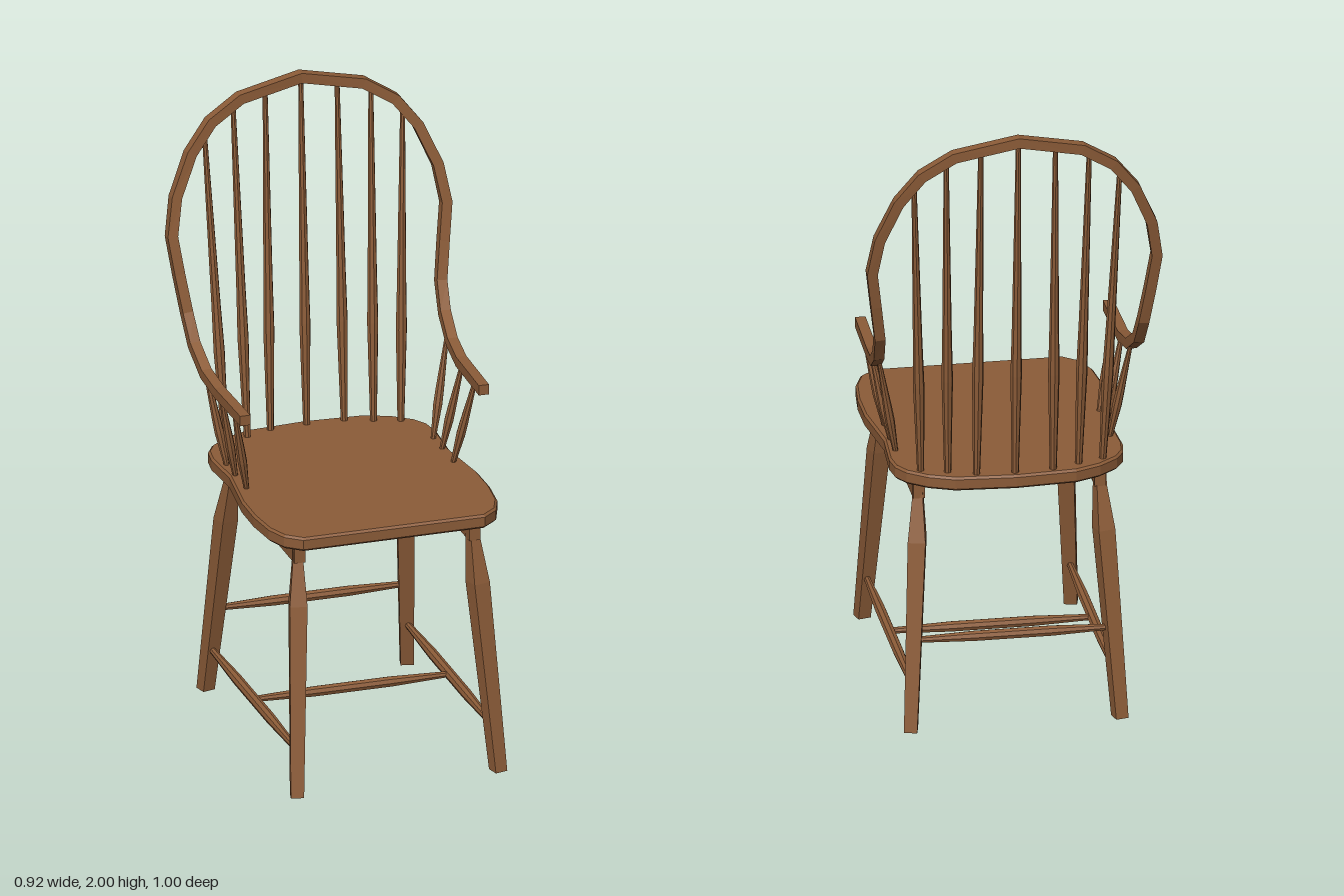
import * as THREE from 'three';

const wood = new THREE.MeshStandardMaterial({ color: 0x8c5c38, flatShading: true });

const V = (x, y, z) => new THREE.Vector3(x, y, z);

// Solid skin over a series of four-cornered rings, closed at both ends
function loft(rings) {
  const pos = rings.flat().flatMap((p) => [p.x, p.y, p.z]);
  const index = [];
  for (let r = 0; r < rings.length - 1; r++) {
    for (let i = 0; i < 4; i++) {
      const a = r * 4 + i, b = r * 4 + ((i + 1) % 4);
      index.push(a, b, b + 4, a, b + 4, a + 4);
    }
  }
  const e = (rings.length - 1) * 4;
  index.push(0, 2, 1, 0, 3, 2, e, e + 1, e + 2, e, e + 2, e + 3);
  const g = new THREE.BufferGeometry();
  g.setAttribute('position', new THREE.Float32BufferAttribute(pos, 3));
  g.setIndex(index);
  g.computeVertexNormals();
  return g;
}

export function createModel() {
  const chair = new THREE.Group();
  chair.name = 'armchair';

  const add = (name, geometry) => {
    const mesh = new THREE.Mesh(geometry, wood);
    mesh.name = name;
    chair.add(mesh);
    return mesh;
  };

  // Turned rod between two points; profile is [radius, fraction of length]
  const rod = (name, from, to, profile) => {
    const dir = to.clone().sub(from);
    const length = dir.length();
    const points = [[0, 0], ...profile, [0, 1]].map(([r, t]) => new THREE.Vector2(r, t * length));
    const mesh = add(name, new THREE.LatheGeometry(points, 8));
    mesh.position.copy(from);
    mesh.quaternion.setFromUnitVectors(V(0, 1, 0), dir.normalize());
  };

  // Seat: shaped plank with softened edges
  const half = [
    [0.19, -0.435], [0.27, -0.402], [0.33, -0.355], [0.357, -0.31], [0.366, -0.25], [0.357, -0.1],
    [0.37, 0], [0.383, 0.1], [0.384, 0.22], [0.372, 0.33], [0.345, 0.4], [0.295, 0.442],
  ];
  const outline = [
    [0, -0.448], ...half, ...half.slice().reverse().map(([x, z]) => [-x, z]),
  ].map(([x, z]) => new THREE.Vector2(x, -z));
  const bevel = 0.007;
  const seat = new THREE.ExtrudeGeometry(new THREE.Shape(outline), {
    depth: 0.045 - 2 * bevel, bevelThickness: bevel, bevelSize: bevel, bevelOffset: -bevel, bevelSegments: 1,
  });
  seat.rotateX(-Math.PI / 2).translate(0, 0.8 + bevel, 0);
  add('seat', seat);

  // Bow and arms: one square rail running from arm tip to arm tip
  const side = [
    [0.388, 1.135, 0.15], [0.393, 1.135, -0.09], [0.4, 1.155, -0.2], [0.407, 1.215, -0.295],
    [0.413, 1.3, -0.35], [0.43, 1.42, -0.378], [0.446, 1.54, -0.4], [0.426, 1.66, -0.422],
    [0.37, 1.79, -0.445], [0.3, 1.88, -0.46], [0.2, 1.943, -0.471],
  ];
  const path = [
    ...side, [0, 1.984, -0.482], ...side.slice().reverse().map(([x, y, z]) => [-x, y, z]),
  ].map((p) => V(...p));
  const bowRings = path.map((p, i) => {
    const before = path[Math.max(i - 1, 0)], after = path[Math.min(i + 1, path.length - 1)];
    const t = after.clone().sub(p).normalize().add(p.clone().sub(before).normalize()).normalize();
    const n = V(p.x, Math.max(0, p.y - 1.54), 0);
    n.addScaledVector(t, -n.dot(t)).normalize();
    const b = t.clone().cross(n);
    const h = 0.0165;
    return [[1, 1], [-1, 1], [-1, -1], [1, -1]].map(([u, v]) =>
      p.clone().addScaledVector(n, u * h).addScaledVector(b, v * h));
  });
  add('backBowAndArms', loft(bowRings));

  // Back spindles: swelling low down, thinning to the bow
  const spindleProfile = [[0.011, 0], [0.018, 0.3], [0.015, 0.45], [0.008, 1]];
  const spindles = [
    [0, -0.42, 0, 1.975, -0.478], [0.12, -0.413, 0.117, 1.955, -0.474],
    [0.205, -0.382, 0.224, 1.925, -0.466], [0.285, -0.355, 0.322, 1.845, -0.45],
  ];
  for (const [x0, z0, x1, y1, z1] of spindles) {
    for (const s of x0 ? [1, -1] : [1]) {
      rod('backSpindle', V(s * x0, 0.838, z0), V(s * x1, y1, z1), spindleProfile);
    }
  }

  // Short spindles under each arm
  const armProfile = [[0.008, 0], [0.015, 0.35], [0.014, 0.5], [0.007, 1]];
  for (const s of [1, -1]) {
    for (const [z0, z1, y1] of [[0.005, 0.055, 1.13], [-0.105, -0.075, 1.13], [-0.19, -0.23, 1.155]]) {
      rod('armSpindle', V(s * 0.335, 0.838, z0), V(s * 0.392, y1, z1), armProfile);
    }
  }

  // Legs: square, splayed, slim at the top and widest at the knee [y, x, z, width]
  const legs = {
    frontLeg: [[0, 0.327, 0.474, 0.041], [0.6, 0.292, 0.378, 0.055], [0.735, 0.285, 0.354, 0.033], [0.805, 0.284, 0.344, 0.033]],
    backLeg: [[0, 0.327, -0.424, 0.041], [0.6, 0.292, -0.332, 0.055], [0.735, 0.285, -0.303, 0.033], [0.805, 0.284, -0.295, 0.033]],
  };
  for (const [name, stations] of Object.entries(legs)) {
    for (const s of [1, -1]) {
      const turn = 0.24 * s * (name === 'frontLeg' ? 1 : -1);
      add(name, loft(stations.map(([y, x, z, w]) => [0, 1, 2, 3].map((k) => {
        const a = turn + Math.PI / 4 + (k * Math.PI) / 2, r = w * Math.SQRT1_2;
        return V(s * x + r * Math.cos(a), y, z - r * Math.sin(a));
      }))));
    }
  }

  // Side rails under the seat
  for (const s of [1, -1]) {
    add('seatRail', new THREE.BoxGeometry(0.036, 0.067, 0.695)).position.set(s * 0.284, 0.768, 0.027);
  }

  // Stretchers
  const stretcher = [[0.01, 0], [0.017, 0.3], [0.017, 0.7], [0.01, 1]];
  for (const s of [1, -1]) {
    rod('sideStretcher', V(s * 0.318, 0.143, 0.445), V(s * 0.318, 0.143, -0.395), stretcher);
  }
  rod('middleStretcher', V(-0.315, 0.143, 0.025), V(0.315, 0.143, 0.025), stretcher);
  rod('backStretcher', V(-0.305, 0.285, -0.38), V(0.305, 0.285, -0.38), stretcher);

  return chair;
}
